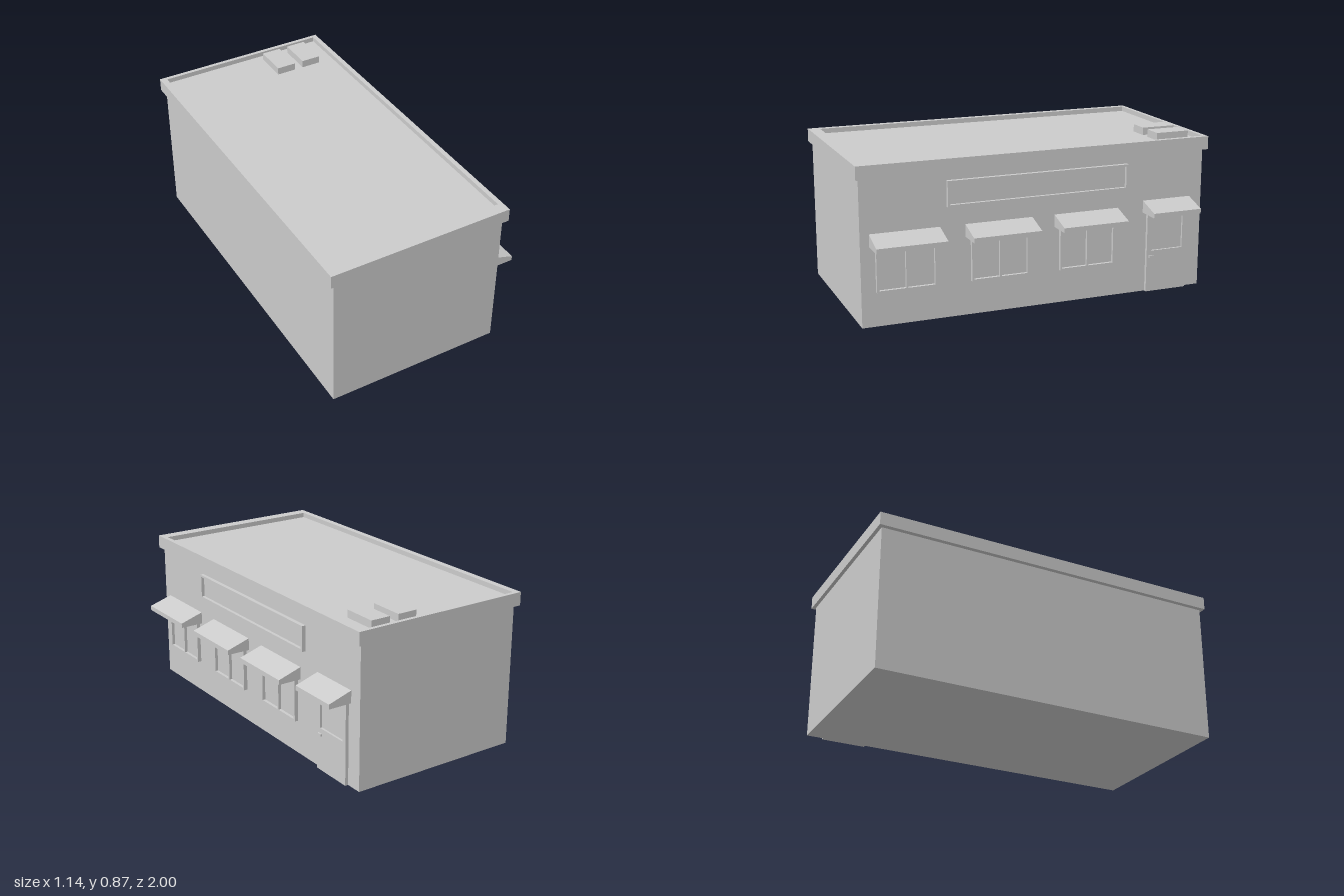
import * as THREE from 'three';

const material = new THREE.MeshStandardMaterial({ color: 0xcccccc, flatShading: true });
const WALL = 0.437; // x of the shop-front wall

function add(parent, name, geometry) {
  const mesh = new THREE.Mesh(geometry, material);
  mesh.name = name;
  parent.add(mesh);
  return mesh;
}

// Box given by its lower and upper corners
function box(parent, name, [x0, y0, z0], [x1, y1, z1]) {
  const mesh = add(parent, name, new THREE.BoxGeometry(x1 - x0, y1 - y0, z1 - z0));
  mesh.position.set((x0 + x1) / 2, (y0 + y1) / 2, (z0 + z1) / 2);
  return mesh;
}

function rect(PathType, u0, v0, u1, v1) {
  return new PathType([[u0, v0], [u1, v0], [u1, v1], [u0, v1]].map(([u, v]) => new THREE.Vector2(u, v)));
}

// Plate on the shop-front wall with rectangular openings, each [z0, y0, z1, y1]
function wallFrame(parent, name, [z0, y0, z1, y1], openings, depth) {
  const shape = rect(THREE.Shape, -z1, y0, -z0, y1);
  for (const [a, b, c, d] of openings) shape.holes.push(rect(THREE.Path, -c, b, -a, d));
  const geometry = new THREE.ExtrudeGeometry(shape, { depth, bevelEnabled: false });
  geometry.rotateY(Math.PI / 2).translate(WALL, 0, 0);
  return add(parent, name, geometry);
}

// Solid sloping canopy with a short vertical front edge
function awning(parent, name, z0, z1, y) {
  const profile = new THREE.Shape([
    new THREE.Vector2(WALL, y), new THREE.Vector2(0.57, y),
    new THREE.Vector2(0.57, y + 0.026), new THREE.Vector2(WALL, y + 0.068),
  ]);
  const geometry = new THREE.ExtrudeGeometry(profile, { depth: z1 - z0, bevelEnabled: false });
  add(parent, name, geometry.translate(0, 0, z0));
}

export function createModel() {
  const model = new THREE.Group();
  model.name = 'shopBuilding';

  // Walls and the sunken flat roof
  box(model, 'walls', [-0.547, 0, -0.98], [WALL, 0.8, 0.982]);
  box(model, 'roofDeck', [-0.572, 0.785, -1], [0.462, 0.831, 1]);

  // Parapet rim standing around the roof
  const rim = rect(THREE.Shape, -0.572, -1, 0.462, 1);
  rim.holes.push(rect(THREE.Path, -0.536, -0.936, 0.435, 0.978));
  const rimGeometry = new THREE.ExtrudeGeometry(rim, { depth: 0.027, bevelEnabled: false });
  add(model, 'parapet', rimGeometry.rotateX(-Math.PI / 2).translate(0, 0.831, 0));

  // Rooftop units
  for (const x of [0.069, 0.233]) {
    box(model, 'roofUnit', [x, 0.831, -0.938], [x + 0.112, 0.873, -0.744]);
  }

  // Framed sign board
  wallFrame(model, 'signFrame', [-0.514, 0.6, 0.518, 0.74], [[-0.502, 0.612, 0.506, 0.728]], 0.022);
  box(model, 'signPanel', [WALL, 0.605, -0.51], [WALL + 0.004, 0.735, 0.51]);

  // Two-pane windows, each under an awning
  for (const z of [0.742, 0.226, -0.279]) {
    const unit = new THREE.Group();
    unit.name = 'window';
    model.add(unit);
    const half = 0.162, bar = 0.011;
    wallFrame(unit, 'windowFrame', [z - half, 0.185, z + half, 0.43], [
      [z - half + bar, 0.196, z - bar / 2, 0.424],
      [z + bar / 2, 0.196, z + half - bar, 0.424],
    ], 0.021);
    box(unit, 'glass', [WALL, 0.19, z - half + 0.005], [WALL + 0.004, 0.428, z + half - 0.005]);
    awning(unit, 'windowAwning', z - 0.187, z + 0.191, 0.429);
  }

  // Door with a glazed upper panel, lever handle and its own awning
  wallFrame(model, 'door', [-0.888, 0, -0.642, 0.456], [[-0.861, 0.235, -0.668, 0.438]], 0.018);
  box(model, 'doorGlass', [WALL, 0.23, -0.866], [WALL + 0.006, 0.443, -0.663]);
  box(model, 'doorHandle', [0.45, 0.195, -0.685], [0.463, 0.207, -0.655]);
  awning(model, 'doorAwning', -0.907, -0.619, 0.454);

  return model;
}
